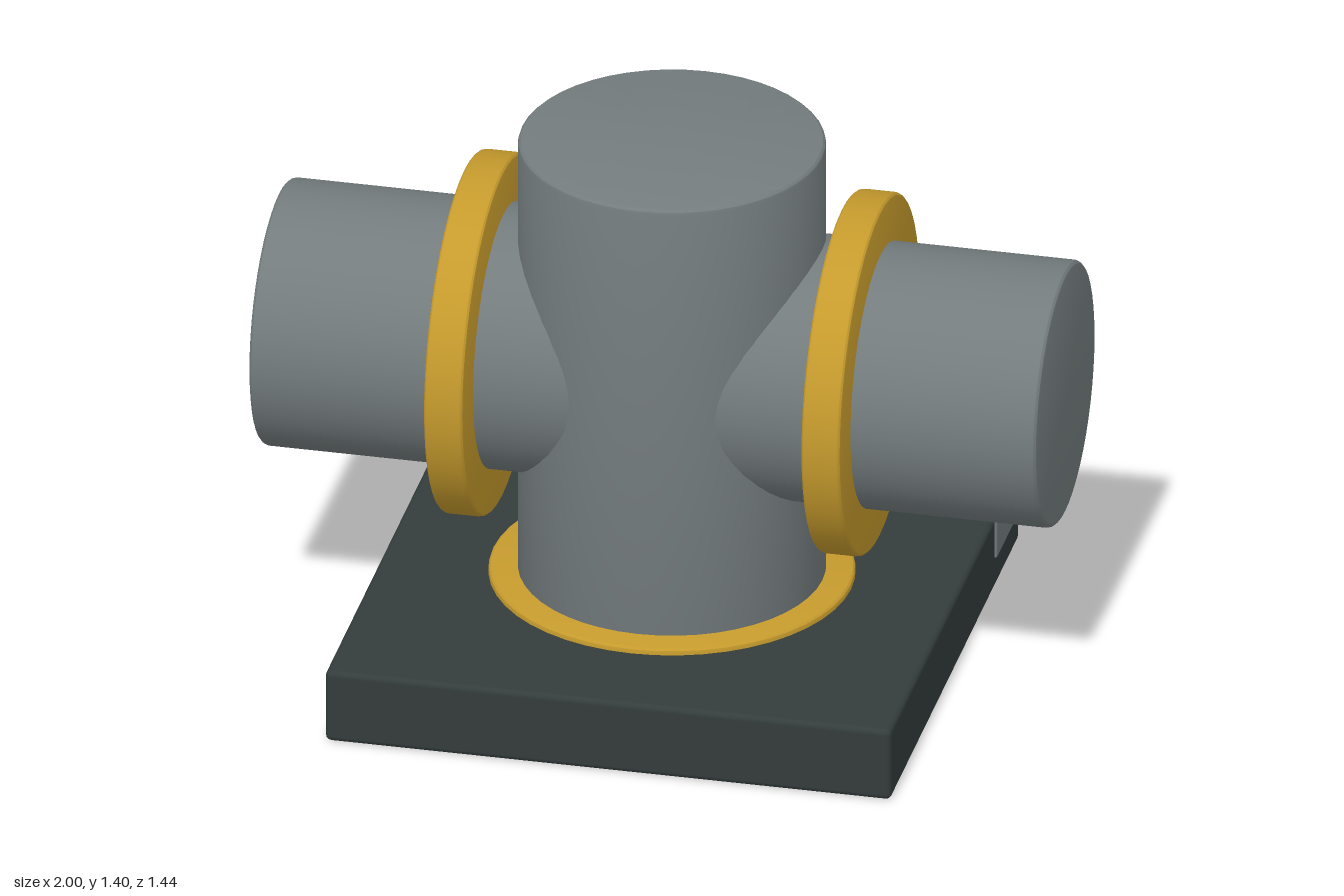
import * as THREE from 'three';
import { toCreasedNormals } from 'three/addons/utils/BufferGeometryUtils.js';
import { RoundedBoxGeometry } from 'three/addons/geometries/RoundedBoxGeometry.js';

const flat = (name, color) => {
  const m = new THREE.MeshStandardMaterial({ color });
  m.name = name;
  return m;
};

// Solid disc or cylinder along y with softened rims
function drum(radius, height, bevel) {
  const h = height / 2;
  const points = [new THREE.Vector2(0, -h)];
  for (const side of [-1, 1]) {
    for (let i = 0; i <= 3; i++) {
      const a = side < 0 ? -Math.PI / 2 + (i * Math.PI) / 6 : (i * Math.PI) / 6;
      points.push(new THREE.Vector2(
        radius - bevel + Math.cos(a) * bevel,
        side * (h - bevel) + Math.sin(a) * bevel
      ));
    }
  }
  points.push(new THREE.Vector2(0, h));
  return toCreasedNormals(new THREE.LatheGeometry(points, 48), 0.4);
}

export function createModel() {
  const steel = flat('steel grey', 0x747c7e);
  const brass = flat('brass yellow', 0xc69b2d);
  const iron = flat('dark iron', 0x343c3c);

  const model = new THREE.Group();
  model.name = 'pipeJunction';
  const add = (name, geometry, material, x, y, z) => {
    const mesh = new THREE.Mesh(geometry, material);
    mesh.name = name;
    mesh.position.set(x, y, z);
    model.add(mesh);
    return mesh;
  };

  // Base and upright column with its foot collar
  add('basePlate', new RoundedBoxGeometry(1.436, 0.195, 1.436, 2, 0.015), iron, 0, 0.0975, 0);
  add('column', drum(0.382, 1.3, 0.015), steel, 0, 0.75, 0);
  add('footCollar', drum(0.455, 0.1, 0.012), brass, 0, 0.162, 0);

  // Cross pipe through the column
  const pipeY = 0.803;
  add('crossPipe', drum(0.334, 2, 0.015), steel, 0, pipeY, 0).rotation.z = Math.PI / 2;

  // Flange rings and rear support blocks, mirrored
  const ring = drum(0.454, 0.1, 0.012);
  const block = new RoundedBoxGeometry(0.234, 0.394, 0.234, 2, 0.008);
  for (const [side, s] of [['left', 1], ['right', -1]]) {
    add(side + 'Flange', ring, brass, s * 0.479, pipeY, 0).rotation.z = Math.PI / 2;
    add(side + 'Block', block, steel, s * 0.607, 0.279, -0.56);
  }
  return model;
}
